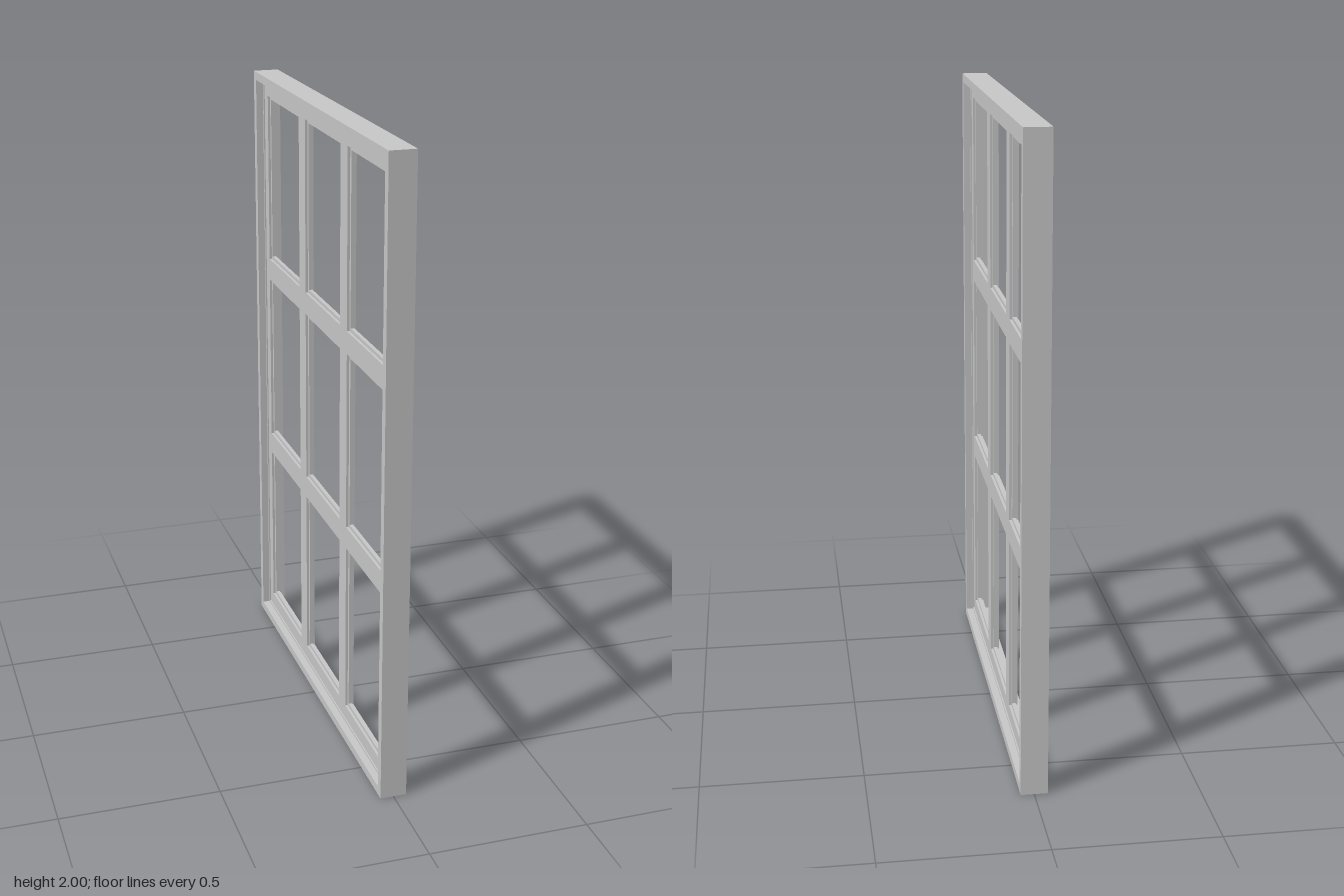
import * as THREE from 'three';

const HALF_W = 0.685; // half width of the outer frame
const paint = new THREE.MeshStandardMaterial({ color: 0xc8c8c8 });
paint.name = 'light grey paint';

// Rectangle outline given as [z0, y0, z1, y1]
function rect(Type, [a, b, c, d]) {
  const p = new Type();
  p.moveTo(a, b);
  p.lineTo(c, b);
  p.lineTo(c, d);
  p.lineTo(a, d);
  p.closePath();
  return p;
}

const inset = ([a, b, c, d], t) => [a + t, b + t, c - t, d - t];

// Flat panel in the z-y plane with openings, centred on x = 0
function panel(name, outer, holes, depth) {
  const shape = rect(THREE.Shape, outer);
  shape.holes = holes.map((h) => rect(THREE.Path, h));
  const geo = new THREE.ExtrudeGeometry(shape, { depth, bevelEnabled: false });
  geo.translate(0, 0, -depth / 2);
  geo.rotateY(Math.PI / 2);
  const mesh = new THREE.Mesh(geo, paint);
  mesh.name = name;
  return mesh;
}

export function createModel() {
  const group = new THREE.Group();
  group.name = 'windowFrame';

  // Outer frame and the slim stop inside it
  const outer = [-HALF_W, 0, HALF_W, 2];
  const opening = inset(outer, 0.027);
  const sashEdge = inset(opening, 0.007);
  group.add(panel('outerFrame', outer, [opening], 0.083));
  group.add(panel('frameStop', opening, [sashEdge], 0.036));

  // Three by three pane openings
  const columns = [[-0.613, -0.25], [-0.182, 0.182], [0.25, 0.613]];
  const rows = [[0.08, 0.645], [0.718, 1.29], [1.363, 1.926]];
  const panes = rows.flatMap(([y0, y1]) => columns.map(([z0, z1]) => [z0, y0, z1, y1]));

  // Sash with its rails and glazing bars
  group.add(panel('sash', sashEdge, panes, 0.028));

  // Thin stepped lip around every pane
  const lips = new THREE.Group();
  lips.name = 'paneLips';
  panes.forEach((p) => lips.add(panel('paneLip', p, [inset(p, 0.011)], 0.012)));
  group.add(lips);

  return group;
}
